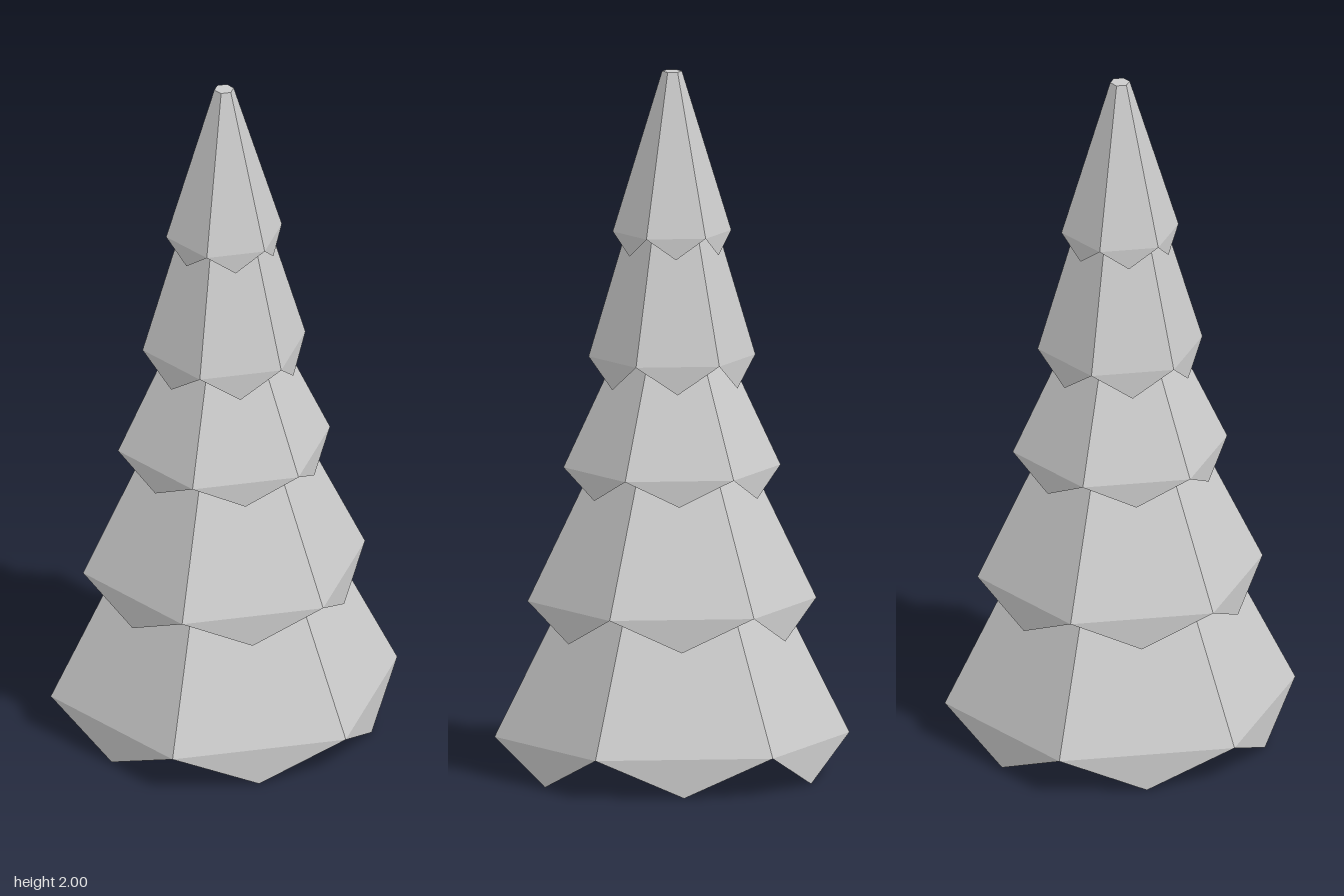
import * as THREE from 'three';

const SIDES = 6;

// Each tier: base radius and height, top radius and height, height of the hanging points
const TIERS = [
  { r: 0.5, y: 0.11, rTop: 0.31, yTop: 0.495, tip: 0.0 },
  { r: 0.407, y: 0.495, rTop: 0.225, yTop: 0.875, tip: 0.4 },
  { r: 0.306, y: 0.875, rTop: 0.16, yTop: 1.19, tip: 0.8 },
  { r: 0.235, y: 1.19, rTop: 0.13, yTop: 1.545, tip: 1.11 },
  { r: 0.167, y: 1.545, rTop: 0.028, yTop: 2.0, tip: 1.485 },
];

// Corner of the hexagon, with one corner pointing to the front
function corner(i, r, y) {
  const a = (i / SIDES) * Math.PI * 2;
  return new THREE.Vector3(Math.sin(a) * r, y, Math.cos(a) * r);
}

// One thin triangle hanging from the middle of every base edge
function fringeGeometry({ r, y, tip }) {
  const points = [];
  for (let i = 0; i < SIDES; i++) {
    const a = corner(i, r, y);
    const b = corner(i + 1, r, y);
    const low = a.clone().lerp(b, 0.5).setY(tip);
    points.push(a, low, b);
  }
  const geometry = new THREE.BufferGeometry().setFromPoints(points);
  geometry.computeVertexNormals();
  return geometry;
}

export function createModel() {
  const tree = new THREE.Group();
  tree.name = 'coniferTree';
  const solid = new THREE.MeshStandardMaterial({ color: 0xcccccc, flatShading: true });
  const thin = new THREE.MeshStandardMaterial({
    color: 0xcccccc, flatShading: true, side: THREE.DoubleSide,
  });

  TIERS.forEach((t, i) => {
    const tier = new THREE.Group();
    tier.name = `tier${i + 1}`;

    // Tapered six-sided foliage with a flat underside
    const height = t.yTop - t.y;
    const foliage = new THREE.Mesh(
      new THREE.CylinderGeometry(t.rTop, t.r, height, SIDES), solid);
    foliage.position.y = t.y + height / 2;
    foliage.name = 'foliage';

    // Pointed branch ends below the rim
    const fringe = new THREE.Mesh(fringeGeometry(t), thin);
    fringe.name = 'branchTips';

    tier.add(foliage, fringe);
    tree.add(tier);
  });
  return tree;
}
